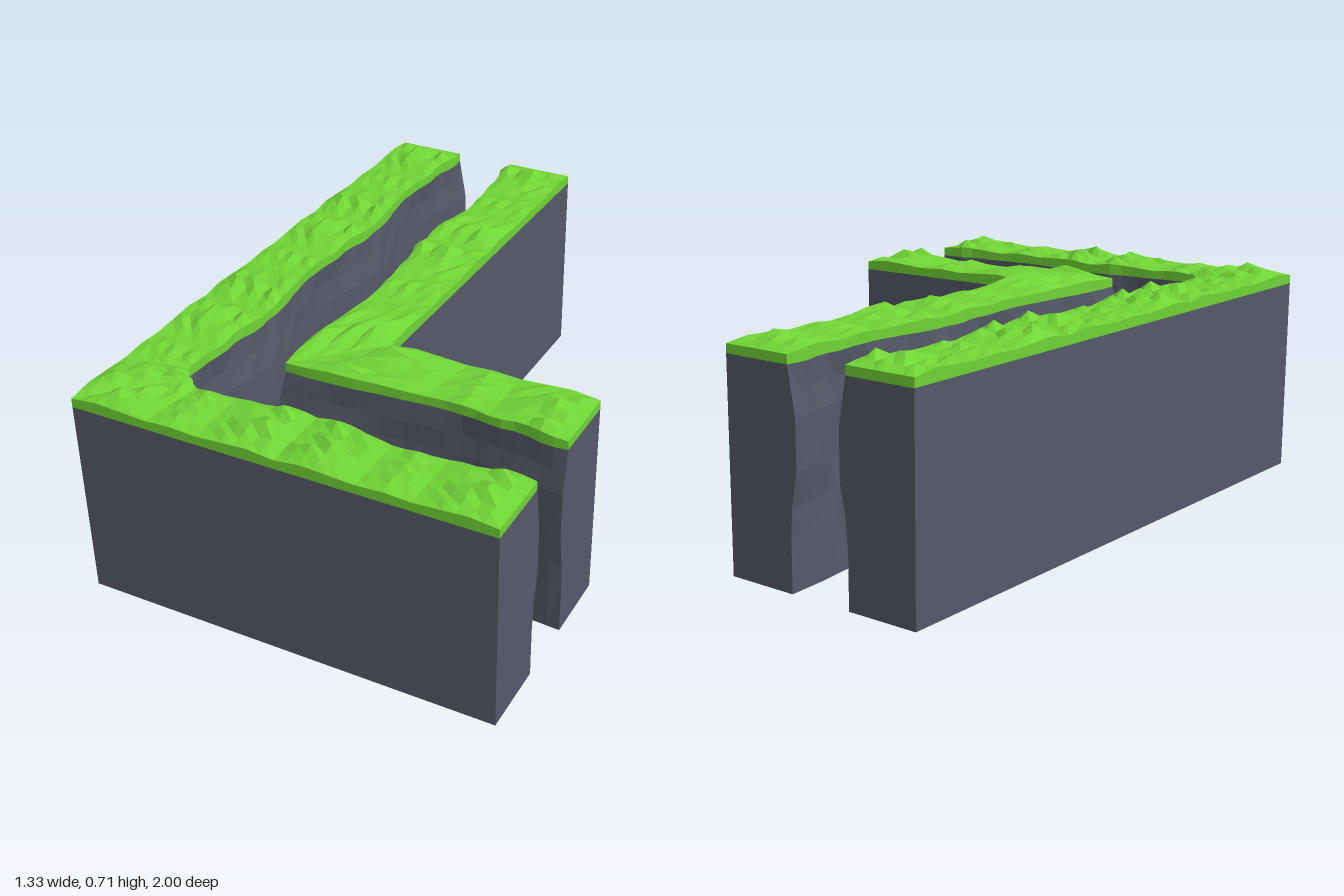
import * as THREE from 'three';

const P = 2 / 3;          // length of one wall module
const STEPS = 16;         // cross-sections per module
const ROCK_TOP = 0.64;
const ROWS = [0, 0.16, 0.25, 0.35, 0.5, 0.57, ROCK_TOP]; // heights on the rough face
const BULGE = [0, 0, 0.25, 1, 1, 0.5, 0];
const CREST = [0, 0.04, 0.02, 0, 0.02, 0, 0.02, 0.04, 0]; // grass bumps along a module
const COLS = 7;           // grass columns across the wall

const hash = (a, b) => {
  const s = Math.sin(a * 127.1 + b * 311.7) * 43758.5453;
  return s - Math.floor(s);
};

// Wall thickness at section i and row r of the rough face
function thickness(i, r) {
  const k = i % STEPS;
  const near = Math.cos((Math.PI * k) / STEPS) ** 2;
  const noise = k === 0 ? 0 : (hash(k >> 1, r) - 0.5) * 0.012;
  return 0.205 + 0.025 * near + 0.025 * BULGE[r] * near ** 2 + noise;
}

// Closed rock section, counter-clockwise in (w, y)
function rockRing(i) {
  const ring = [[0, 0]];
  ROWS.forEach((y, r) => ring.push([thickness(i, r), y]));
  ring.push([0, ROCK_TOP]);
  return ring;
}

// Closed grass section with a lumpy top
function grassRing(i) {
  const k = i % STEPS;
  const w = thickness(i, ROWS.length - 1);
  const c = k / 2, c0 = Math.floor(c);
  const bump = THREE.MathUtils.lerp(CREST[c0], CREST[c0 + 1], c - c0);
  const peak = 2 + (Math.floor(k / 3) % 3);
  const ring = [[0, ROCK_TOP], [w, ROCK_TOP]];
  for (let j = COLS; j >= 0; j--) {
    const edge = j === 0 || j === COLS;
    const f = edge ? 0.25 : j === peak ? 1 : 0.2 + 0.7 * hash(k + 3, j);
    ring.push([(w * j) / COLS, 0.668 + bump * f]);
  }
  return ring;
}

// Lofts sections along an arm; a = along, b = across towards the rough face,
// mitre = +1 for an inside rough corner, -1 for an outside one
function loftArm(makeRing, arm) {
  const { corner, a, b, modules, mitre } = arm;
  const pos = [], index = [];
  const last = modules * STEPS;
  const flip = bxa(a, b) < 0;
  const tri = (p, q, r) => (flip ? index.push(p, r, q) : index.push(p, q, r));
  const put = (w, y, u) => pos.push(corner[0] + a[0] * u + b[0] * w, y, corner[1] + a[1] * u + b[1] * w);
  let n = 0, end = null;
  for (let i = 0; i <= last; i++) {
    const u = (i * P) / STEPS;
    const shear = mitre * Math.max(0, 1 - u / 0.3);
    const ring = makeRing(i);
    n = ring.length;
    ring.forEach(([w, y]) => put(w, y, u + shear * w));
    end = ring;
  }
  for (let i = 0; i < last; i++) {
    for (let j = 0; j < n; j++) {
      const p = i * n + j, q = i * n + ((j + 1) % n);
      tri(p, q, q + n);
      tri(p, q + n, p + n);
    }
  }
  // Cap on the free end
  const ys = end.map((e) => e[1]);
  put(0.11, (Math.min(...ys) + Math.max(...ys)) / 2, modules * P);
  const centre = (last + 1) * n;
  for (let j = 0; j < n; j++) tri(centre, last * n + j, last * n + ((j + 1) % n));
  const g = new THREE.BufferGeometry();
  g.setAttribute('position', new THREE.Float32BufferAttribute(pos, 3));
  g.setIndex(index);
  g.computeVertexNormals();
  return g;
}

// Handedness of the (across, up, along) frame
function bxa(a, b) {
  return b[0] * a[1] - b[1] * a[0];
}

export function createModel() {
  const model = new THREE.Group();
  model.name = 'cornerPassage';
  const rock = new THREE.MeshStandardMaterial({ color: 0x555968, flatShading: true });
  const grass = new THREE.MeshStandardMaterial({ color: 0x70d435, flatShading: true });

  const walls = [
    { name: 'outerWallLong', corner: [-P, 1], a: [0, -1], b: [1, 0], modules: 3, mitre: 1 },
    { name: 'outerWallShort', corner: [-P, 1], a: [1, 0], b: [0, -1], modules: 2, mitre: 1 },
    { name: 'innerWallLong', corner: [0, 1 / 3], a: [0, -1], b: [-1, 0], modules: 2, mitre: -1 },
    { name: 'innerWallShort', corner: [0, 1 / 3], a: [1, 0], b: [0, 1], modules: 1, mitre: -1 },
  ];
  for (const arm of walls) {
    const wall = new THREE.Group();
    wall.name = arm.name;
    const body = new THREE.Mesh(loftArm(rockRing, arm), rock);
    body.name = 'rock';
    const top = new THREE.Mesh(loftArm(grassRing, arm), grass);
    top.name = 'grass';
    wall.add(body, top);
    model.add(wall);
  }
  return model;
}
